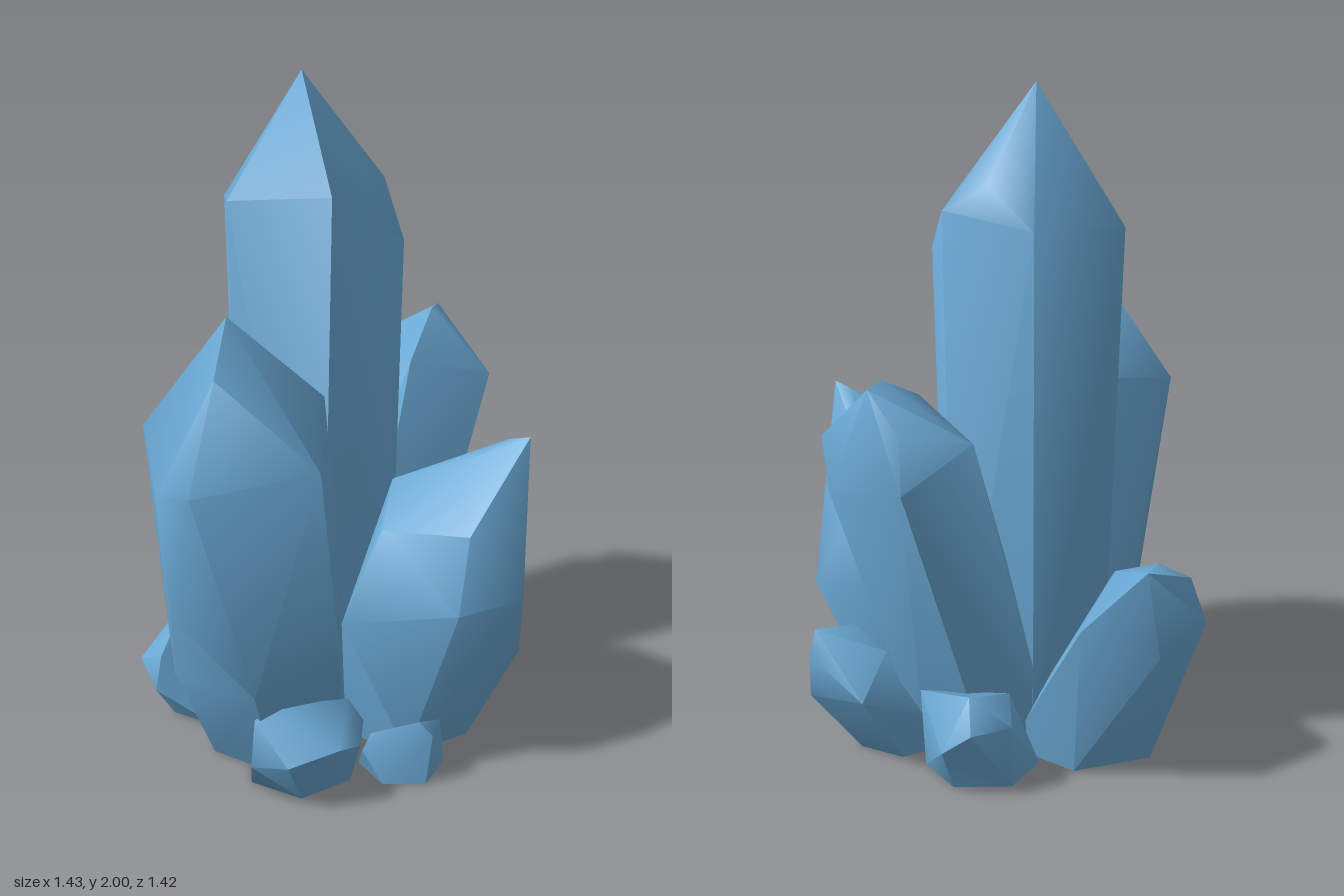
import * as THREE from 'three';
import { ConvexGeometry } from 'three/addons/geometries/ConvexGeometry.js';
import { toCreasedNormals } from 'three/addons/utils/BufferGeometryUtils.js';

const crystalBlue = new THREE.MeshStandardMaterial({ color: 0x6baad6 });
crystalBlue.name = 'crystalBlue';

// Six points around a centre at height y
function ring(y, cx, cz, r, turn = 0) {
  return Array.from({ length: 6 }, (_, i) => {
    const a = turn + (i * Math.PI) / 3;
    return [cx + r * Math.cos(a), y, cz + r * Math.sin(a)];
  });
}

// A crystal is the hull of its faceted crown and the rings of its shaft
function crystal(name, crown, ...rings) {
  const points = [...crown, ...rings.flat()].map((p) => new THREE.Vector3(...p));
  const mesh = new THREE.Mesh(toCreasedNormals(new ConvexGeometry(points), 0.95), crystalBlue);
  mesh.name = name;
  return mesh;
}

export function createModel() {
  const group = new THREE.Group();
  group.name = 'crystalCluster';
  group.add(
    // Tall upright crystal in the middle
    crystal('centreCrystal', [
      [0.07, 2, -0.23], [0.27, 1.72, -0.3], [0.36, 1.65, -0.2], [0.23, 1.52, 0.1],
      [-0.04, 1.68, 0.12], [-0.25, 1.65, -0.13], [-0.1, 1.6, -0.43], [0.21, 1.6, -0.44],
    ], ring(0, 0, -0.05, 0.27, -0.08)),

    // Large crystals leaning outwards
    crystal('rightCrystal', [
      [-0.47, 1.43, 0.27], [-0.56, 1.29, 0.36], [-0.14, 1.13, 0.24], [-0.35, 1.05, 0.56],
      [-0.68, 1.0, 0.43], [-0.72, 0.98, 0.32], [-0.6, 1.05, -0.02], [-0.28, 1.08, -0.01],
      [-0.69, 0.6, 0.32], [-0.08, 0.56, 0.24],
    ], ring(0.37, -0.37, 0.25, 0.28, 0.05), ring(0, -0.27, 0.17, 0.22, 0.05)),

    crystal('frontCrystal', [
      [0.33, 1.03, 0.61], [0.3, 1.01, 0.55], [0.2, 0.95, 0.5], [-0.04, 0.74, 0.4],
      [0.1, 0.82, 0.25], [0.39, 0.8, 0.25], [0.1, 0.78, 0.64], [0.04, 0.56, 0.68],
      [0.25, 0.57, 0.71], [0.34, 0.32, 0.6], [0.51, 0.41, 0.41], [-0.14, 0.43, 0.34],
      [0.07, 0.45, 0.15], [0.39, 0.45, 0.13],
    ], ring(0, 0.13, 0.3, 0.22, 0.05)),

    crystal('leftCrystal', [
      [0.55, 1.19, -0.18], [0.62, 1.18, -0.24], [0.64, 1.0, 0.03], [0.33, 1.09, 0.01],
      [0.71, 0.89, -0.17], [0.6, 0.91, -0.39], [0.58, 1.06, -0.35], [0.38, 1.03, -0.4],
    ], ring(0, 0.15, -0.09, 0.23)),

    crystal('backCrystal', [
      [-0.03, 0.66, -0.66], [-0.2, 0.61, -0.64], [-0.04, 0.42, -0.71], [-0.23, 0.48, -0.68],
      [0.12, 0.48, -0.55], [-0.35, 0.38, -0.5], [-0.27, 0.57, -0.4], [0.14, 0.26, -0.4],
      [-0.15, 0.55, -0.34],
    ], ring(0, -0.09, -0.27, 0.25, 0.2)),

    // Small crystals around the foot
    crystal('smallLeftCrystal', [
      [0.68, 0.41, 0.03], [0.53, 0.38, 0.08], [0.71, 0.34, 0.01], [0.59, 0.32, 0.2],
      [0.45, 0.27, 0.19], [0.68, 0.18, 0.08], [0.5, 0.34, -0.08], [0.62, 0.23, -0.16],
      [0.57, 0.15, 0.2],
    ], ring(0.12, 0.45, 0.02, 0.18), ring(0, 0.39, 0.02, 0.15)),

    crystal('smallBackRightCrystal', [
      [-0.5, 0.28, -0.11], [-0.41, 0.2, -0.32], [-0.57, 0.18, -0.19], [-0.55, 0.23, -0.08],
      [-0.58, 0.13, -0.06], [-0.28, 0.2, -0.28], [-0.35, 0.25, -0.1],
    ], ring(0, -0.35, -0.1, 0.15)),

    crystal('smallBackLeftCrystal', [
      [0.4, 0.29, -0.4], [0.3, 0.2, -0.47], [0.43, 0.2, -0.46],
      [0.49, 0.14, -0.4], [0.24, 0.25, -0.36], [0.45, 0.25, -0.2],
    ], ring(0, 0.28, -0.27, 0.17, Math.PI / 6)),

    crystal('smallFrontRightCrystal', [
      [-0.5, 0.27, 0.44], [-0.43, 0.3, 0.45], [-0.2, 0.26, 0.47], [-0.13, 0.15, 0.45],
      [-0.53, 0.14, 0.47], [-0.32, 0.2, 0.61], [-0.46, 0.16, 0.56], [-0.22, 0.16, 0.57],
    ], ring(0, -0.3, 0.36, 0.17)),

    crystal('tinyFrontCrystal', [
      [-0.04, 0.2, 0.61], [0.06, 0.16, 0.58], [0.1, 0.08, 0.52],
      [-0.18, 0.1, 0.52], [-0.15, 0.15, 0.52], [-0.01, 0.16, 0.64],
    ], ring(0, -0.03, 0.51, 0.13, Math.PI / 6)),
  );
  return group;
}
